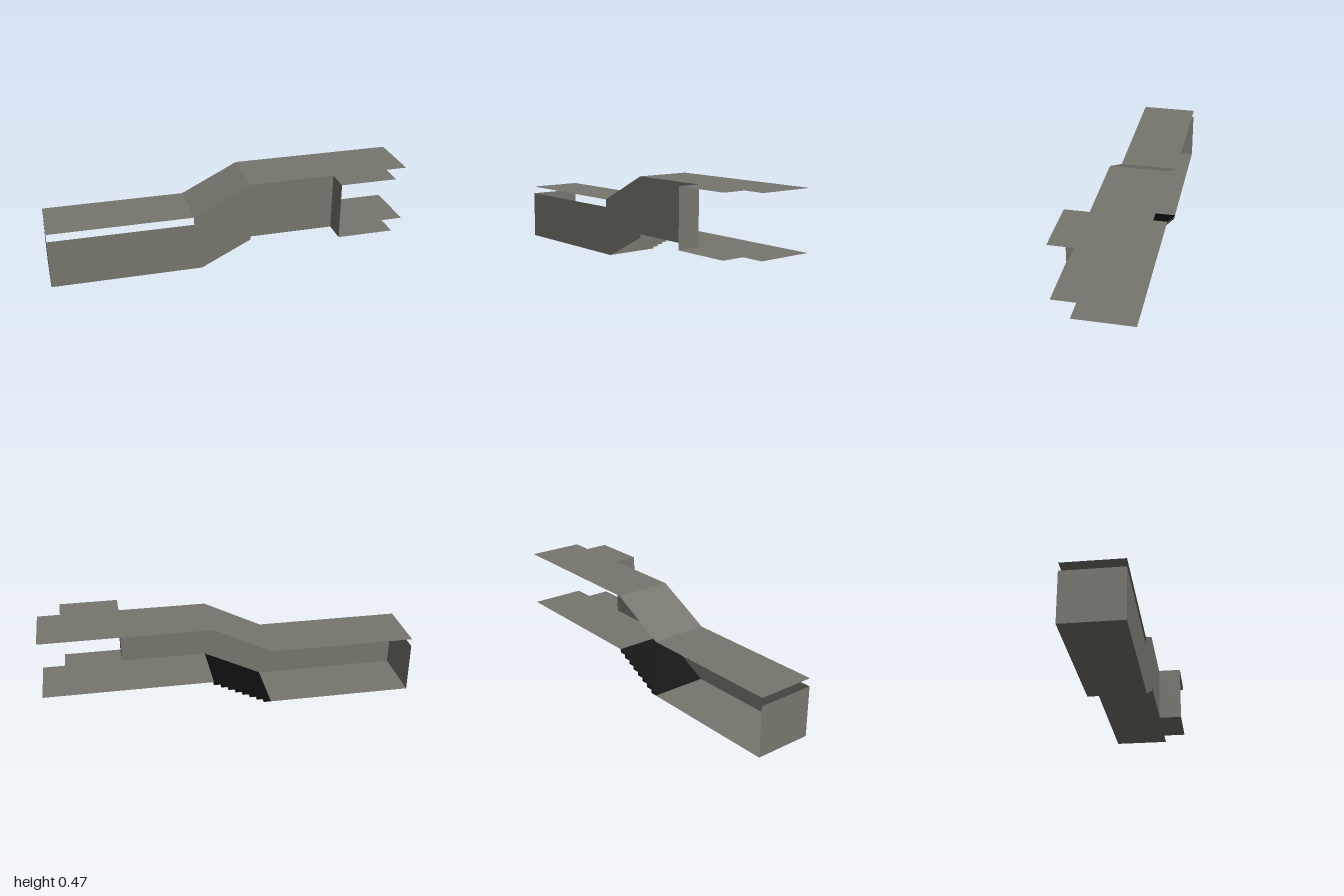
import * as THREE from 'three';

const BACK = -0.223, FRONT = 0.093, BAY = 0.223; // z of open side, wall and side bay
const X0 = -0.217, X1 = 0.098;                   // start and end of the stairs
const RISE = 0.158, CEIL = 0.315, STEPS = 8;
const RUN = (X1 - X0) / STEPS, STEP = RISE / STEPS;
const BAY_X0 = 0.567, BAY_X1 = 0.88;

export function createModel() {
  const group = new THREE.Group();
  const concrete = new THREE.MeshStandardMaterial({ color: 0x77766e, side: THREE.DoubleSide });
  concrete.name = 'concrete grey';
  const black = new THREE.MeshStandardMaterial({ color: 0x0d0d0d, side: THREE.DoubleSide });
  black.name = 'ramp black';

  const add = (name, geometry, material = concrete, parent = group) => {
    const mesh = new THREE.Mesh(geometry, material);
    mesh.name = name;
    parent.add(mesh);
    return mesh;
  };
  const outline = (points) => new THREE.Shape(points.map(([x, y]) => new THREE.Vector2(x, y)));

  // Horizontal sheet from an outline in x and z
  const sheet = (name, points, y) =>
    add(name, new THREE.ShapeGeometry(outline(points)).rotateX(Math.PI / 2).translate(0, y, 0));

  // Strip spanning the corridor between two points in x and y
  const strip = (name, xa, ya, xb, yb, parent) => {
    const g = new THREE.PlaneGeometry(Math.hypot(xb - xa, yb - ya), FRONT - BACK);
    g.rotateX(-Math.PI / 2).rotateZ(Math.atan2(yb - ya, xb - xa));
    g.translate((xa + xb) / 2, (ya + yb) / 2, (FRONT + BACK) / 2);
    return add(name, g, concrete, parent);
  };

  // Lower and upper floors and ceilings
  const upper = [[X1, BACK], [1, BACK], [1, FRONT], [BAY_X1, FRONT], [BAY_X1, BAY],
    [BAY_X0, BAY], [BAY_X0, FRONT], [X1, FRONT]];
  strip('lowerFloor', -1, 0, X0, 0);
  sheet('upperFloor', upper, RISE);
  strip('lowerCeiling', -1, CEIL, X0, CEIL);
  strip('slopedCeiling', X0, CEIL, X1, CEIL + RISE);
  sheet('upperCeiling', upper, CEIL + RISE);

  // Long wall following the stairs
  add('longWall', new THREE.ShapeGeometry(outline([
    [-1, 0], [X0 + RUN, 0], [X1, RISE - STEP], [X1, RISE], [BAY_X0, RISE],
    [BAY_X0, CEIL + RISE], [X1, CEIL + RISE], [X0, CEIL], [X0, 0.272], [-1, 0.272],
  ])).translate(0, 0, FRONT));

  // End wall of the lower corridor
  strip('endWall', -1, 0, -1, 0.272);

  // Return wall beside the bay
  add('bayWall', new THREE.PlaneGeometry(BAY - FRONT, CEIL).rotateY(Math.PI / 2)
    .translate(BAY_X0, RISE + CEIL / 2, (BAY + FRONT) / 2));

  // Thin stair treads and risers, with a saw-toothed ramp filling above them
  const stairs = new THREE.Group();
  stairs.name = 'stairs';
  group.add(stairs);
  const teeth = [[X0, 0]];
  for (let i = 0; i < STEPS; i++) {
    const x = X0 + i * RUN, y = i * STEP;
    strip('tread', x, y, x + RUN, y, stairs);
    strip('riser', x + RUN, y, x + RUN, y + STEP, stairs);
    teeth.push([x + RUN, y], [x + RUN, y + STEP]);
  }
  // The fill sits a hair above the treads and clear of the wall
  const ramp = new THREE.ExtrudeGeometry(
    outline([...teeth.map(([x, y]) => [x - 0.001, y + 0.001]), [X0 - 0.001, 0.003]]),
    { depth: FRONT - BACK - 0.002, bevelEnabled: false });
  add('ramp', ramp.translate(0, 0, BACK), black);

  return group;
}
